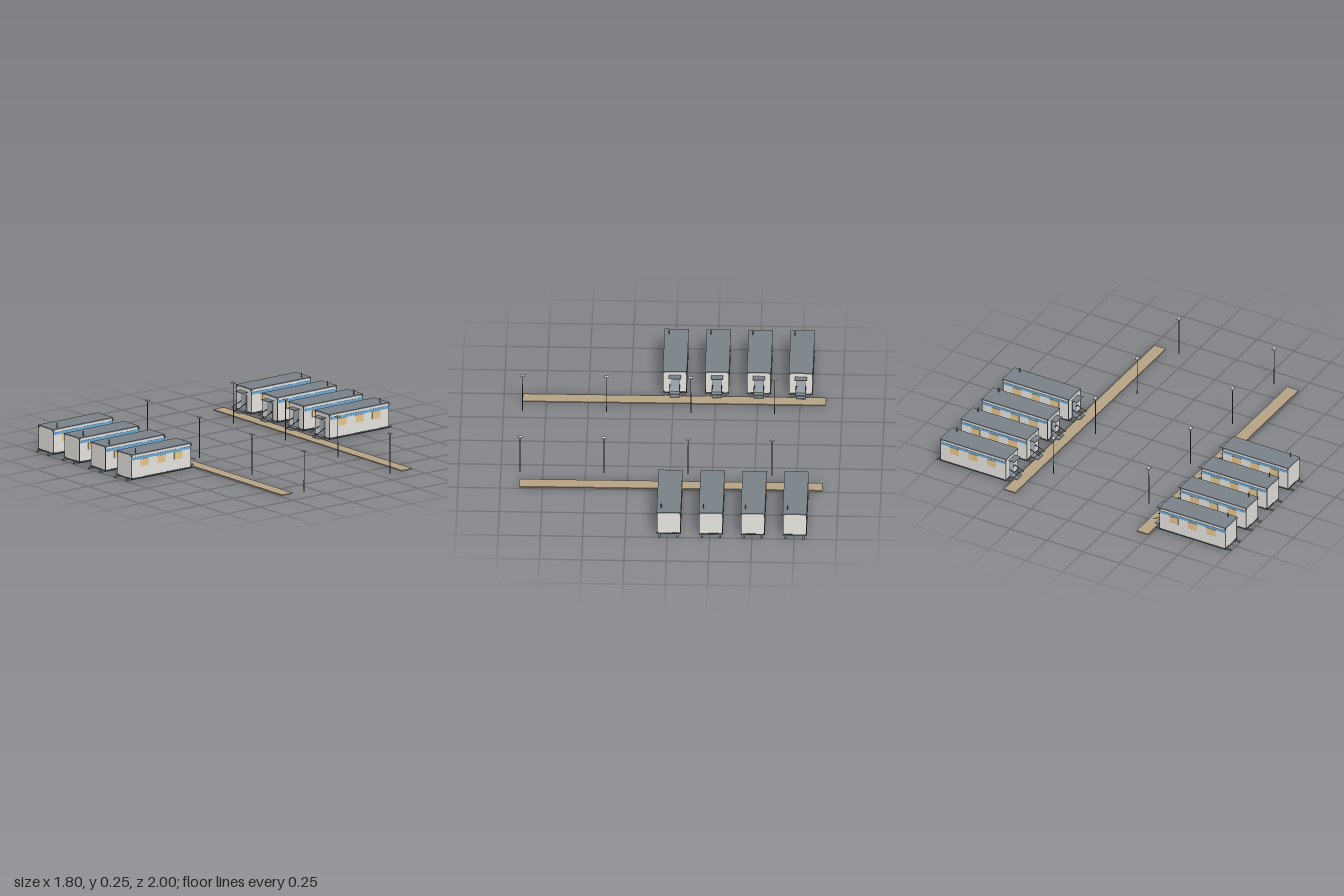
import * as THREE from 'three';

const mat = (name, color) => Object.assign(new THREE.MeshStandardMaterial({ color }), { name });

export function createModel() {
  const wall = mat('wall', 0xe8e6e1), roofGrey = mat('roofGrey', 0x7a8288), dark = mat('darkSteel', 0x4a4f55);
  const blue = mat('blueBand', 0x6cabdc), amber = mat('windowGlow', 0xe8c88e), wood = mat('wood', 0xb7a486);
  const steel = mat('steel', 0x868b8f), doorGrey = mat('doorGrey', 0xa8b2b9), lampWhite = mat('lampHead', 0xdcdcd6);

  const model = new THREE.Group();
  model.name = 'cabinCamp';

  const box = (parent, name, m, w, h, d, x, y, z, rx = 0) => {
    const b = new THREE.Mesh(new THREE.BoxGeometry(w, h, d), m);
    b.name = name;
    b.position.set(x, y, z);
    b.rotation.x = rx;
    parent.add(b);
    return b;
  };

  // One cabin; s = 1 has its door toward -z, s = -1 toward +z
  function makeCabin(s) {
    const g = new THREE.Group();
    g.name = 'cabin';
    const add = (name, m, w, h, d, x, y, z, rx = 0) => box(g, name, m, w, h, d, x, y, z * s, rx * s);

    add('body', wall, 0.138, 0.14, 0.446, 0, 0.084, 0);
    add('baseFrame', dark, 0.141, 0.008, 0.449, 0, 0.011, 0);
    add('roof', roofGrey, 0.143, 0.007, 0.452, 0, 0.1565, 0);

    for (const x of [-1, 1]) {
      // Skids, corner fittings and side details
      add('skid', steel, 0.012, 0.009, 0.508, x * 0.053, 0.0048, -0.001);
      for (const z of [-1, 1]) {
        add('cornerPost', dark, 0.003, 0.136, 0.003, x * 0.068, 0.083, z * 0.222);
        for (const y of [0.013, 0.151])
          add('cornerFitting', dark, 0.009, 0.007, 0.009, x * 0.0665, y, z * 0.221);
      }
      add('blueStripe', blue, 0.002, 0.016, 0.446, x * 0.0695, 0.132, 0);
      for (const z of [-0.127, 0, 0.127])
        add('window', amber, 0.004, 0.044, 0.06, x * 0.069, 0.1, z);

      // Sloping stair handrails
      add('handrail', dark, 0.003, 0.003, 0.072, x * 0.029, 0.053, -0.257, -0.39);
    }

    // Door end: door, canopy and steps
    add('doorFrame', dark, 0.053, 0.099, 0.002, 0, 0.066, -0.2236);
    add('door', doorGrey, 0.049, 0.096, 0.003, 0, 0.066, -0.2242);
    add('doorHandle', dark, 0.003, 0.008, 0.003, 0.018, 0.064, -0.2265);
    add('canopy', roofGrey, 0.072, 0.003, 0.04, 0, 0.131, -0.243);
    add('upperStep', steel, 0.058, 0.006, 0.03, 0, 0.016, -0.238);
    add('lowerStep', steel, 0.058, 0.004, 0.026, 0, 0.011, -0.264);

    // Vent pipe
    const pipe = new THREE.Mesh(new THREE.CylinderGeometry(0.0035, 0.0035, 0.03, 8), steel);
    pipe.name = 'ventPipe';
    pipe.position.set(0.045, 0.173, 0.175 * s);
    g.add(pipe);
    return g;
  }

  function makeLamp() {
    const g = new THREE.Group();
    g.name = 'lampPost';
    const pole = new THREE.Mesh(new THREE.CylinderGeometry(0.0022, 0.003, 0.246, 8), dark);
    pole.name = 'pole';
    pole.position.y = 0.123;
    g.add(pole);
    box(g, 'lampHead', lampWhite, 0.027, 0.006, 0.018, 0, 0.248, 0);
    return g;
  }

  // Two facing rows, each with a boardwalk and lamps
  for (const s of [1, -1]) {
    for (const x of [-0.753, -0.505, -0.257, -0.008]) {
      const cabin = makeCabin(s);
      cabin.position.set(x, 0, 0.747 * s);
      model.add(cabin);
    }
    box(model, 'boardwalk', wood, 1.791, 0.007, 0.077, -0.0085, 0.0045, 0.452 * s);
    for (const x of [-0.603, -0.107, 0.39, 0.887]) {
      const lamp = makeLamp();
      lamp.position.set(x, 0, 0.324 * s);
      model.add(lamp);
    }
  }
  return model;
}
